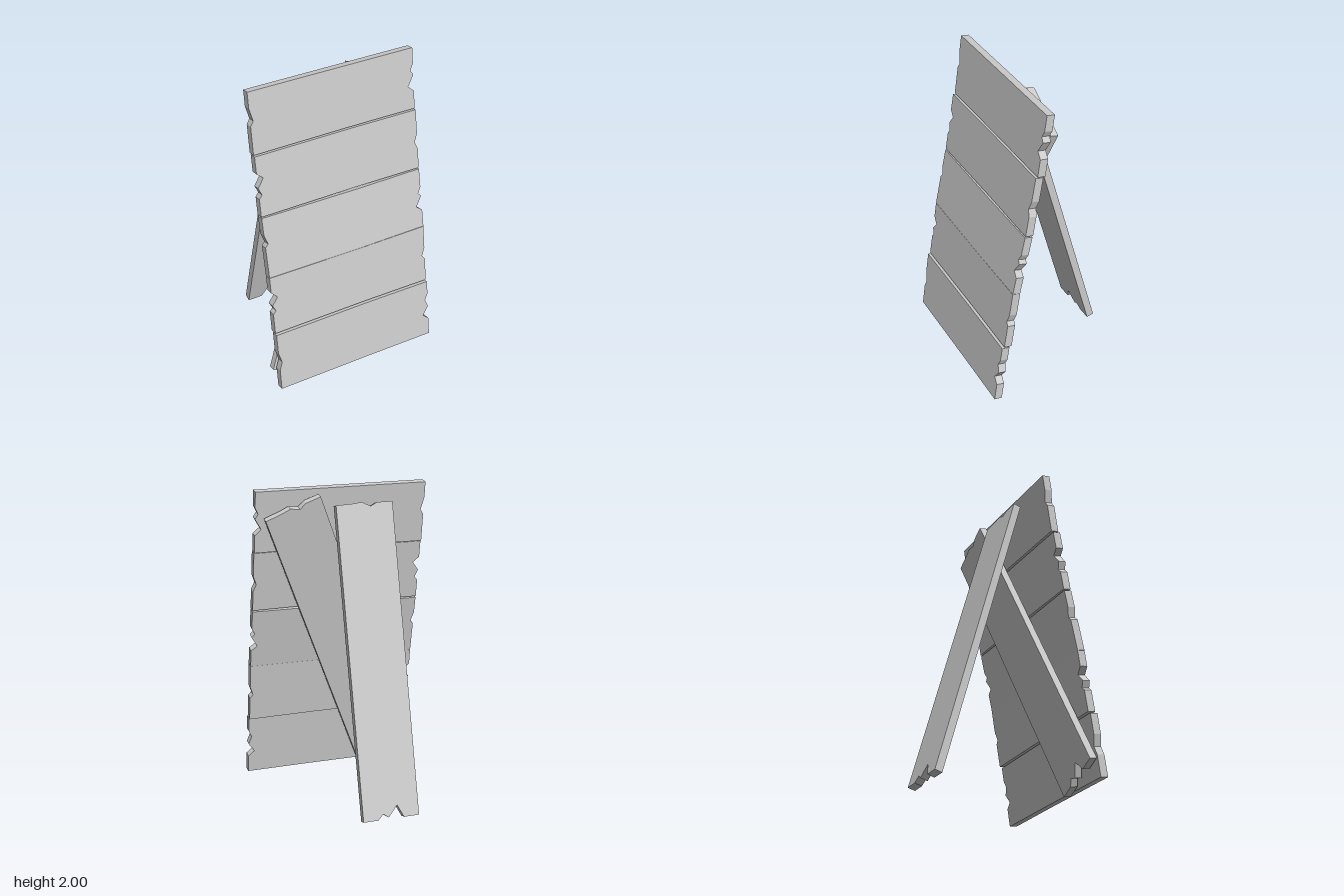
import * as THREE from 'three';

const material = new THREE.MeshStandardMaterial({ color: 0xcccccc, flatShading: true });

// Flat board cut from an outline; its front face lies on local z = 0
function board(name, outline, thickness) {
  const shape = new THREE.Shape(outline.map(([x, y]) => new THREE.Vector2(x, y)));
  const geometry = new THREE.ExtrudeGeometry(shape, { depth: thickness, bevelEnabled: false });
  geometry.translate(0, 0, -thickness);
  const mesh = new THREE.Mesh(geometry, material);
  mesh.name = name;
  return mesh;
}

// Planks, top to bottom: height and depth of the front face's lower and upper edge,
// slight skew of both edges, and chips [height, depth] going up each side
const LEFT = -0.545, RIGHT = 0.555;
const planks = [
  { low: [1.612, 0.203], high: [2.0, 0.147], skew: [0.003, 0],
    left: [[1.79, 0], [1.82, 0.02], [1.9, 0]],
    right: [[1.725, 0], [1.76, 0.04], [1.83, 0], [1.86, 0.02], [1.9, 0]] },
  { low: [1.226, 0.28], high: [1.608, 0.215], skew: [0.004, 0.003],
    left: [[1.34, 0], [1.365, 0.02], [1.41, 0], [1.466, 0.04], [1.5, 0]],
    right: [[1.355, 0], [1.4, 0.02], [1.455, 0]] },
  { low: [0.834, 0.365], high: [1.219, 0.283], skew: [-0.004, -0.004],
    left: [[1.03, 0], [1.05, 0.02], [1.11, 0]],
    right: [[0.945, 0], [0.975, 0.04], [1.04, 0], [1.06, 0.02], [1.1, 0]] },
  { low: [0.446, 0.425], high: [0.831, 0.365], skew: [0.004, -0.003],
    left: [[0.58, 0], [0.6, 0.02], [0.64, 0], [0.69, 0.04], [0.73, 0]],
    right: [[0.6, 0], [0.625, 0.02], [0.68, 0]] },
  { low: [0.05, 0.497], high: [0.44, 0.44], skew: [0.002, 0.004],
    left: [[0.185, 0], [0.24, 0.02], [0.31, 0]],
    right: [[0.165, 0], [0.2, 0.04], [0.255, 0], [0.307, 0.02], [0.35, 0]] },
];

function plank({ low, high, skew, left, right }) {
  const tilt = Math.atan2(low[1] - high[1], high[0] - low[0]);
  const length = Math.hypot(low[1] - high[1], high[0] - low[0]);
  const along = (y) => (y - low[0]) / Math.cos(tilt);
  const outline = [
    [LEFT, 0], [0.1, skew[0]], [RIGHT, 0],
    ...right.map(([y, d]) => [RIGHT - d, along(y)]),
    [RIGHT, length], [0.1, length + skew[1]], [LEFT, length],
    ...left.map(([y, d]) => [LEFT + d, along(y)]).reverse(),
  ];
  const mesh = board('frontPlank', outline, 0.05);
  mesh.position.set(0, low[0], low[1]);
  mesh.rotation.x = -tilt;
  return mesh;
}

// Long support board with splintered ends
function support(name, length) {
  return board(name, [
    [0, 0], [0.1, 0], [0.14, 0.08], [0.2, 0.01], [0.235, 0.035], [0.27, 0], [0.367, 0],
    [0.367, length - 0.005], [0.25, length], [0.2, length + 0.006],
    [0.145, length - 0.022], [0.1, length], [0, length],
  ], 0.048);
}

export function createModel() {
  const model = new THREE.Group();
  model.name = 'leaningBoardSign';

  const panel = new THREE.Group();
  panel.name = 'plankPanel';
  planks.forEach((p) => panel.add(plank(p)));
  model.add(panel);

  // Diagonal brace behind the planks
  const brace = support('diagonalBrace', 1.985);
  brace.position.set(-0.56, 0.15, 0.414);
  brace.rotation.set(-0.188, 0, -0.375);
  model.add(brace);

  // Rear leg leaning forward to the brace
  const leg = support('rearLeg', 1.958);
  leg.position.set(-0.298, 0, -0.452);
  leg.rotation.x = 0.272;
  model.add(leg);

  return model;
}
